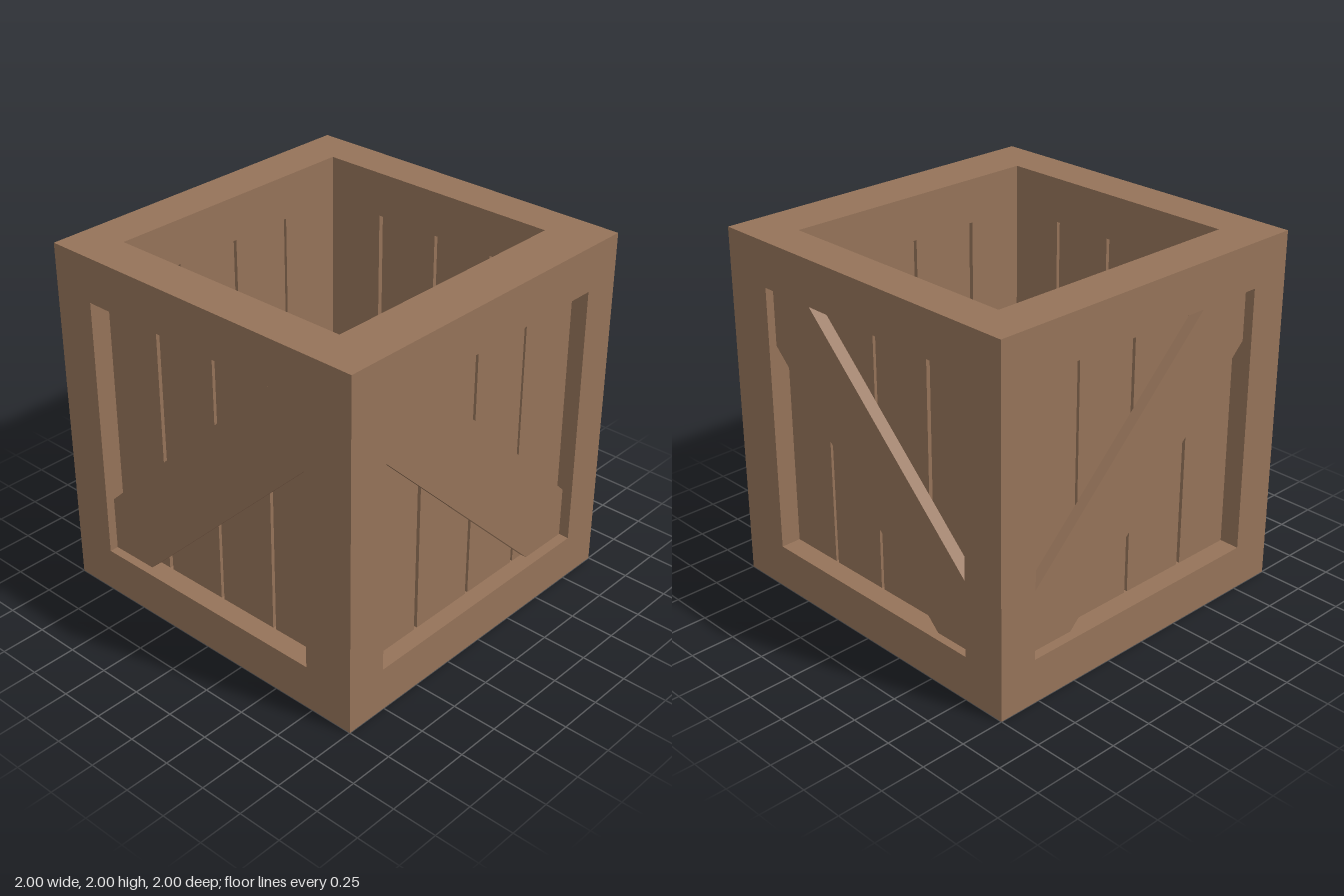
import * as THREE from 'three';

// Opening of the crate and height of the side windows
const X0 = -0.75, X1 = 0.71, Z0 = -0.775, Z1 = 0.76, Y0 = 0.25, Y1 = 1.75;

const wood = new THREE.MeshStandardMaterial({ color: 0x957359 });
wood.name = 'brown wood';

function add(parent, name, geometry) {
  const mesh = new THREE.Mesh(geometry, wood);
  mesh.name = name;
  parent.add(mesh);
  return mesh;
}

// Box given by its limits on each axis
function block(parent, name, x0, x1, y0, y1, z0, z1) {
  const g = new THREE.BoxGeometry(x1 - x0, y1 - y0, z1 - z0);
  g.translate((x0 + x1) / 2, (y0 + y1) / 2, (z0 + z1) / 2);
  return add(parent, name, g);
}

const toShape = (pts) => new THREE.Shape(pts.map(([x, y]) => new THREE.Vector2(x, y)));

// Slatted wall with a diagonal brace: u runs along the wall, w is its depth axis
function slattedSide(parent, { name, turn, ends, gaps, inner, slat, brace, points }) {
  const side = new THREE.Group();
  side.name = name;
  side.rotation.y = turn;
  parent.add(side);

  // Four slats separated by narrow see-through gaps
  const cuts = [ends[0], ...gaps.flat(), ends[1]];
  for (let i = 0; i < cuts.length; i += 2) {
    block(side, 'slat', cuts[i], cuts[i + 1], Y0, Y1, Math.min(inner, slat), Math.max(inner, slat));
  }

  // Diagonal board cut to fit the corners of the window
  const g = new THREE.ExtrudeGeometry(toShape(points), { depth: Math.abs(brace - slat), bevelEnabled: false });
  g.translate(0, 0, Math.min(brace, slat));
  add(side, 'diagonalBrace', g);
}

export function createModel() {
  const crate = new THREE.Group();
  crate.name = 'openCrate';

  // Solid base
  block(crate, 'base', -1, 1, 0, Y0, -1, 1);

  // Corner posts
  for (const [x0, x1] of [[-1, X0], [X1, 1]]) {
    for (const [z0, z1] of [[-1, Z0], [Z1, 1]]) {
      block(crate, 'cornerPost', x0, x1, Y0, Y1, z0, z1);
    }
  }

  // Top rim around the opening
  const rim = toShape([[-1, -1], [1, -1], [1, 1], [-1, 1]]);
  rim.holes.push(toShape([[X0, -Z1], [X0, -Z0], [X1, -Z0], [X1, -Z1]]));
  const rimGeometry = new THREE.ExtrudeGeometry(rim, { depth: 2 - Y1, bevelEnabled: false });
  rimGeometry.rotateX(-Math.PI / 2);
  rimGeometry.translate(0, Y1, 0);
  add(crate, 'topRim', rimGeometry);

  // Front and back walls
  const zGaps = [[-0.4, -0.375], [-0.005, 0.015], [0.37, 0.39]];
  const zBrace = (lift) => [
    [X0, Y0], [-0.47 - lift, Y0], [X1, 1.39 + lift], [X1, Y1], [0.48 - lift, Y1], [X0, 0.56 + lift],
  ];
  slattedSide(crate, { name: 'frontSide', turn: 0, ends: [X0, X1], gaps: zGaps,
    inner: Z1, slat: 0.885, brace: 0.95, points: zBrace(0) });
  slattedSide(crate, { name: 'backSide', turn: 0, ends: [X0, X1], gaps: zGaps,
    inner: Z0, slat: -0.885, brace: -0.955, points: zBrace(0.03) });

  // Left and right walls, turned so that u = -z and depth = x
  const xGaps = [[-0.415, -0.392], [-0.005, 0.015], [0.38, 0.397]];
  const xBrace = [
    [-Z1, 1.45], [0.475, Y0], [-Z0, Y0], [-Z0, 0.54], [-0.47, Y1], [-Z1, Y1],
  ];
  slattedSide(crate, { name: 'leftSide', turn: Math.PI / 2, ends: [-Z1, -Z0], gaps: xGaps,
    inner: X1, slat: 0.905, brace: 0.94, points: xBrace });
  slattedSide(crate, { name: 'rightSide', turn: Math.PI / 2, ends: [-Z1, -Z0], gaps: xGaps,
    inner: X0, slat: -0.885, brace: -0.945, points: xBrace });

  return crate;
}
